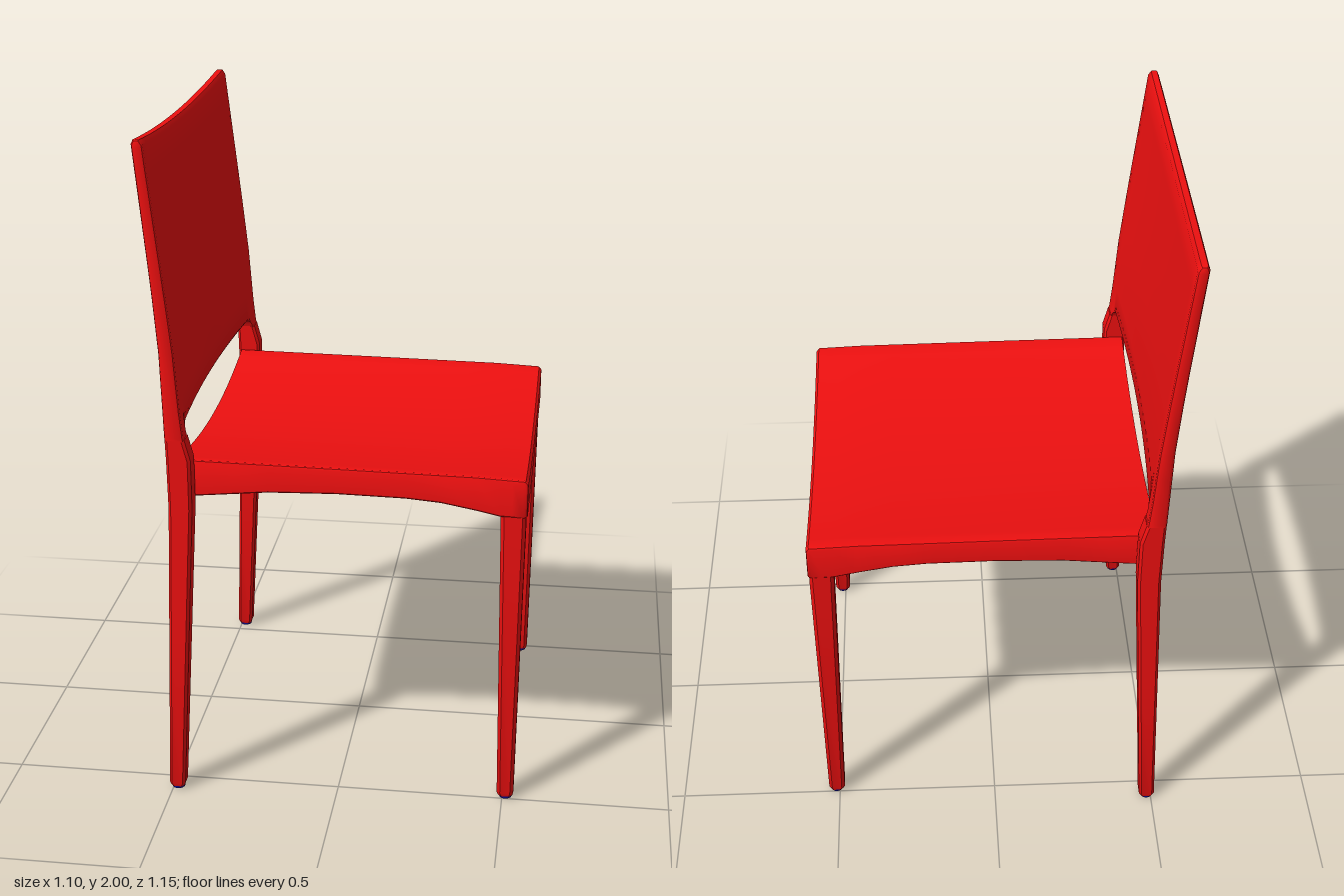
import * as THREE from 'three';
import { toCreasedNormals } from 'three/addons/utils/BufferGeometryUtils.js';

const red = new THREE.MeshStandardMaterial({ color: 0xee1010 });
const blue = new THREE.MeshStandardMaterial({ color: 0x0a0a90 });

// Linear lookup in a short list of [key, value] pairs
function lerpTable(table, k) {
  if (k <= table[0][0]) return table[0][1];
  for (let i = 1; i < table.length; i++) {
    const [a, va] = table[i - 1], [b, vb] = table[i];
    if (k <= b) return va + (vb - va) * (k - a) / (b - a);
  }
  return table[table.length - 1][1];
}

// Closed skin over rings of [x, y, z] points, with zipped end caps
function loft(rings, crease = 0.6) {
  const n = rings[0].length, m = rings.length, index = [];
  const quad = (a, b, c, d) => index.push(a, b, c, a, c, d);
  for (let r = 0; r < m - 1; r++) {
    for (let i = 0; i < n; i++) {
      const j = (i + 1) % n;
      quad(r * n + i, r * n + j, (r + 1) * n + j, (r + 1) * n + i);
    }
  }
  const e = (m - 1) * n;
  for (let i = 0; i < n / 2 - 1; i++) {
    quad(n - 1 - i, n - 2 - i, i + 1, i);
    quad(e + i, e + i + 1, e + n - 2 - i, e + n - 1 - i);
  }
  // Turn the faces outward
  const pts = rings.flat().map(p => new THREE.Vector3(...p));
  let volume = 0;
  for (let i = 0; i < index.length; i += 3) {
    volume += pts[index[i]].dot(pts[index[i + 1]].clone().cross(pts[index[i + 2]]));
  }
  if (volume < 0) index.reverse();
  const g = new THREE.BufferGeometry().setFromPoints(pts);
  g.setIndex(index);
  return toCreasedNormals(g, crease);
}

// Horizontal rectangle with chamfered corners
function legRing([y, x0, x1, z0, z1], c = 0.01) {
  return [[x0 + c, y, z0], [x1 - c, y, z0], [x1, y, z0 + c], [x1, y, z1 - c],
    [x1 - c, y, z1], [x0 + c, y, z1], [x0, y, z1 - c], [x0, y, z0 + c]];
}

// Stations across the width, denser near the ends
function stations(half, count, extra) {
  const list = [...extra, ...extra.map(v => -v)];
  for (let i = 0; i <= count; i++) list.push(half * (2 * i / count - 1));
  return [...new Set(list)].sort((a, b) => a - b);
}

// Side profile of the back posts and backrest: x of the two faces by height
const backFace = [[0.01, -0.51], [0.93, -0.48], [1.08, -0.482], [1.4, -0.492], [1.6, -0.508], [2, -0.547]];
const frontFace = [[0.01, -0.462], [0.93, -0.411], [1.08, -0.411], [1.16, -0.432], [1.4, -0.449], [1.6, -0.47], [2, -0.515]];

function seatGeometry() {
  const half = 0.514;
  const xs = [-0.47, -0.44, -0.4, -0.3, -0.2, -0.1, 0, 0.1, 0.2, 0.3, 0.4, 0.47, 0.51, 0.54, 0.548];
  const edgeTop = [[-0.47, 1.062], [0, 1.057], [0.4, 1.052], [0.54, 1.046], [0.548, 1.036]];
  const edgeBottom = [[-0.47, 0.945], [-0.4, 0.95], [-0.2, 0.97], [0, 0.976],
    [0.2, 0.973], [0.3, 0.965], [0.4, 0.947], [0.47, 0.932], [0.54, 0.93], [0.548, 0.935]];
  const rings = stations(half - 0.01, 24, [half - 0.003, half]).map(z => {
    const dip = 1 - Math.min(1, (z / half) ** 2);
    const a = Math.abs(z);
    const inset = a > half - 0.001 ? 0.01 : a > half - 0.004 ? 0.003 : 0;
    const top = xs.map(x => [x - (x > 0.5 ? inset * 0.6 : 0),
      lerpTable(edgeTop, x) - (0.052 - 0.01 * x) * dip - inset, z]);
    const bottom = xs.map(x => [x - (x > 0.5 ? inset * 0.6 : 0),
      lerpTable(edgeBottom, x) - (x > 0.42 ? 0.01 : 0.018) * dip + inset * 0.5, z]);
    return [...top, ...bottom.reverse()];
  });
  return loft(rings);
}

function backrestGeometry() {
  const half = 0.577;
  const rings = stations(half - 0.01, 24, [0.48, 0.495, 0.505, 0.511, 0.515, half - 0.003, half]).map(z => {
    const a = Math.abs(z), bow = 1 - (z / half) ** 2;
    const f = Math.min(1, Math.max(0, (a - 0.48) / 0.035));
    const low = 1.17 - 0.03 * (1 - Math.sqrt(1 - f * f)); // rounded corner of the opening
    const high = 2 - 0.03 * bow;
    const end = a > half - 0.001 ? 0.008 : a > half - 0.004 ? 0.003 : 0;
    const front = [], back = [];
    for (const t of [0, 0.01, 0.1, 0.2, 0.3, 0.4, 0.5, 0.6, 0.7, 0.8, 0.9, 0.985, 1]) {
      const y = low + (high - end - low) * t;
      const round = end + (t === 1 ? 0.007 : t === 0 && a < 0.5 ? 0.005 : 0);
      const shift = bow * (0.024 - 0.012 * t);
      const zz = z * (1 - 0.012 * t);
      front.push([lerpTable(frontFace, y) - shift - round, y, zz]);
      back.push([lerpTable(backFace, y) - shift + round, y, zz]);
    }
    return [...front, ...back.reverse()];
  });
  return loft(rings);
}

export function createModel() {
  const group = new THREE.Group();
  const add = (name, geometry, material = red) => {
    const mesh = new THREE.Mesh(geometry, material);
    mesh.name = name;
    group.add(mesh);
    return mesh;
  };

  add('seat', seatGeometry());
  add('backrest', backrestGeometry());

  const mirrorZ = (r, s) => (s > 0 ? r : [r[0], r[1], r[2], -r[4], -r[3]]);
  for (const s of [1, -1]) {
    // Front legs taper toward the floor
    const front = [[0.008, 0.488, 0.531, 0.461, 0.502], [0.02, 0.484, 0.534, 0.457, 0.506],
      [0.9, 0.472, 0.544, 0.447, 0.512], [0.96, 0.47, 0.544, 0.445, 0.512]];
    add('frontLeg', loft(front.map(r => legRing(mirrorZ(r, s)))));

    // Back legs follow the backrest profile up to its lower corner
    const back = [0.008, 0.02, 0.5, 0.93, 1.0, 1.08, 1.115, 1.142].map(y => {
      const c = y < 0.01 ? 0.004 : 0;
      return [y, lerpTable(backFace, y) + c, lerpTable(frontFace, y) - c,
        0.528 - 0.014 * Math.min(1, y / 0.93) + c, 0.577 - c];
    });
    add('backLeg', loft(back.map(r => legRing(mirrorZ(r, s), 0.008))));

    // Floor glides
    for (const [x, z] of [[0.51, 0.4815], [-0.486, 0.5525]]) {
      add('footGlide', new THREE.CylinderGeometry(0.021, 0.019, 0.01, 16), blue)
        .position.set(x, 0.005, s * z);
    }
  }
  return group;
}
